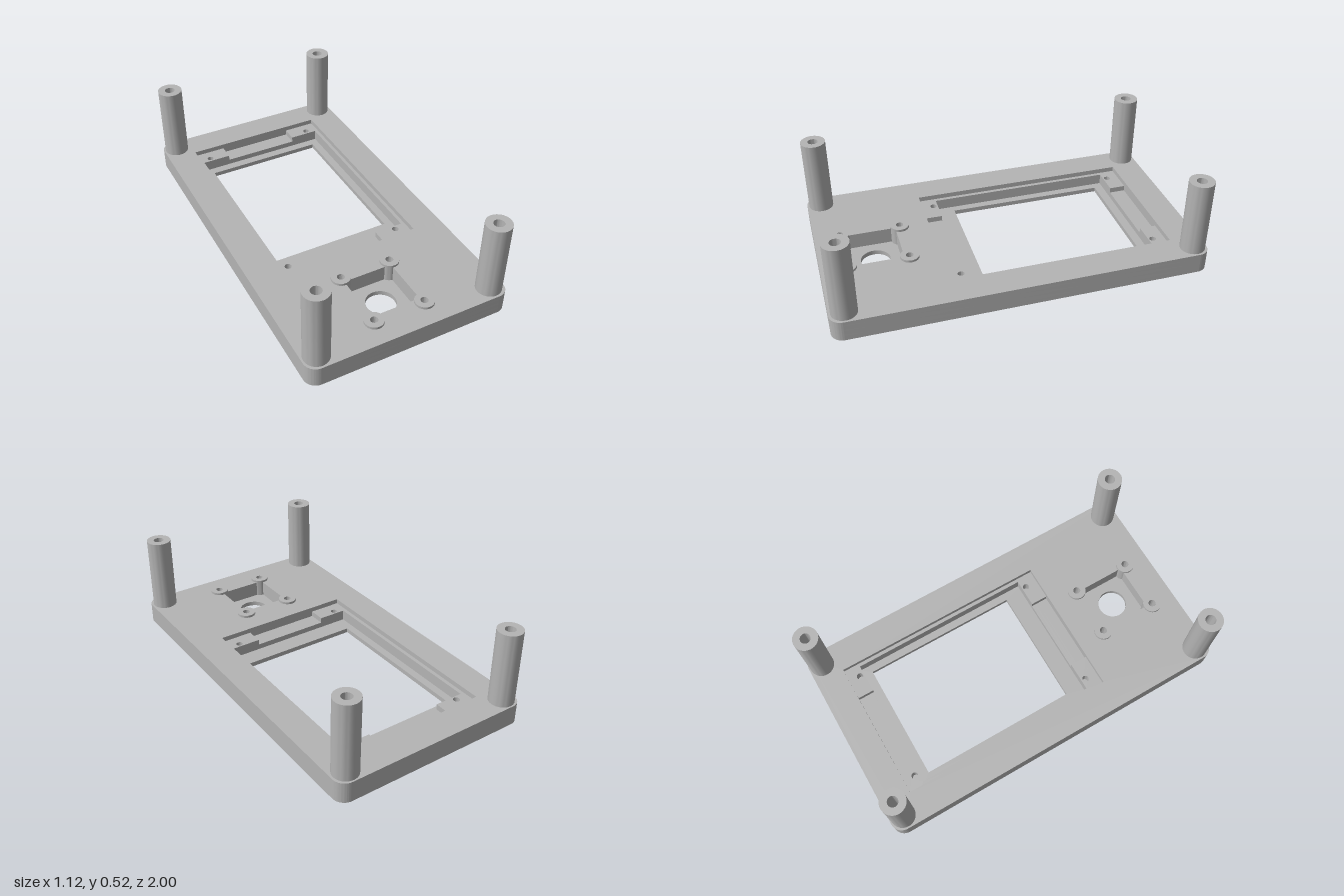
import * as THREE from 'three';
import { mergeGeometries, toCreasedNormals } from 'three/addons/utils/BufferGeometryUtils.js';

// Closed path from [x, z] points; shapes are drawn with y = -z and laid flat afterwards
const poly = (pts) => new THREE.Path(pts.map(([x, z]) => new THREE.Vector2(x, -z)));
const rect = (x0, z0, x1, z1) => poly([[x0, z0], [x1, z0], [x1, z1], [x0, z1]]);
const circle = (x, z, r) => new THREE.Path().absarc(x, -z, r, 0, Math.PI * 2, true);

function slab(shape, y0, y1) {
  const g = new THREE.ExtrudeGeometry(shape, { depth: y1 - y0, bevelEnabled: false, curveSegments: 20 });
  g.rotateX(-Math.PI / 2).translate(0, y0, 0);
  return toCreasedNormals(g, 0.6);
}

function plateOutline(w, d, r) {
  const s = new THREE.Shape();
  s.absarc(w - r, d - r, r, 0, Math.PI / 2);
  s.absarc(r - w, d - r, r, Math.PI / 2, Math.PI);
  s.absarc(r - w, r - d, r, Math.PI, Math.PI * 1.5);
  s.absarc(w - r, r - d, r, Math.PI * 1.5, Math.PI * 2);
  s.closePath();
  return s;
}

// Upright tube with a blind hole in its top
function standoff(r, hole, y0, y1, holeBottom) {
  const pts = [[r, y0], [r, y1], [hole, y1], [hole, holeBottom], [0, holeBottom]];
  const g = new THREE.LatheGeometry(pts.map(([x, y]) => new THREE.Vector2(x, y)), 40);
  return toCreasedNormals(g, 0.6);
}

export function createModel() {
  const model = new THREE.Group();
  model.name = 'enclosurePanel';
  const grey = new THREE.MeshStandardMaterial({ color: 0xb4b4b4 });
  grey.name = 'grey plastic';
  const add = (geometry, name, x = 0, z = 0) => {
    const m = new THREE.Mesh(geometry, grey);
    m.name = name;
    m.position.set(x, 0, z);
    model.add(m);
  };

  const TOP = 0.112, FLOOR = 0.025, LEDGE = 0.055, PAD = 0.085;
  const bosses = [], padHoles = [];
  for (const x of [-0.142, 0.142]) for (const z of [0.533, 0.862]) bosses.push([x, z]);
  for (const x of [-0.325, 0.322]) for (const z of [-0.773, 0.303]) padHoles.push([x, z]);

  // Plate in four layers, each with the openings cut at its level
  const pocket = () => [rect(-0.137, 0.56, 0.135, 0.83), ...bosses.map(([x, z]) => circle(x, z, 0.02))];
  const pins = () => padHoles.map(([x, z]) => circle(x, z, 0.018));
  const inner = () => rect(-0.375, -0.748, 0.373, 0.278);
  // Inner recess widened between the corner pads
  const notched = poly([
    [-0.375, -0.748], [-0.215, -0.748], [-0.215, -0.838], [0.212, -0.838], [0.212, -0.748], [0.373, -0.748],
    [0.373, 0.278], [0.212, 0.278], [0.212, 0.373], [-0.215, 0.373], [-0.215, 0.278], [-0.375, 0.278],
  ]);
  const layers = [
    [0, FLOOR, [rect(-0.333, -0.7, 0.331, 0.178), circle(0, 0.696, 0.08)]],
    [FLOOR, LEDGE, [inner(), ...pocket(), ...pins()]],
    [LEDGE, PAD, [notched, ...pocket(), ...pins()]],
    [PAD, TOP, [rect(-0.396, -0.838, 0.392, 0.373), ...pocket()]],
  ];
  const slabs = layers.map(([y0, y1, holes]) => {
    const s = plateOutline(0.558, 1, 0.065);
    s.holes.push(...holes);
    return slab(s, y0, y1);
  });
  add(mergeGeometries(slabs), 'plate');

  // Tall corner posts
  const post = standoff(0.067, 0.028, TOP, 0.525, TOP + 0.005);
  for (const x of [-0.482, 0.48]) for (const z of [-0.925, 0.922]) add(post, 'cornerPost', x, z);

  // Low bosses at the corners of the square pocket
  const boss = standoff(0.051, 0.02, FLOOR, 0.125, FLOOR + 0.005);
  for (const [x, z] of bosses) add(boss, 'pocketBoss', x, z);

  return model;
}
